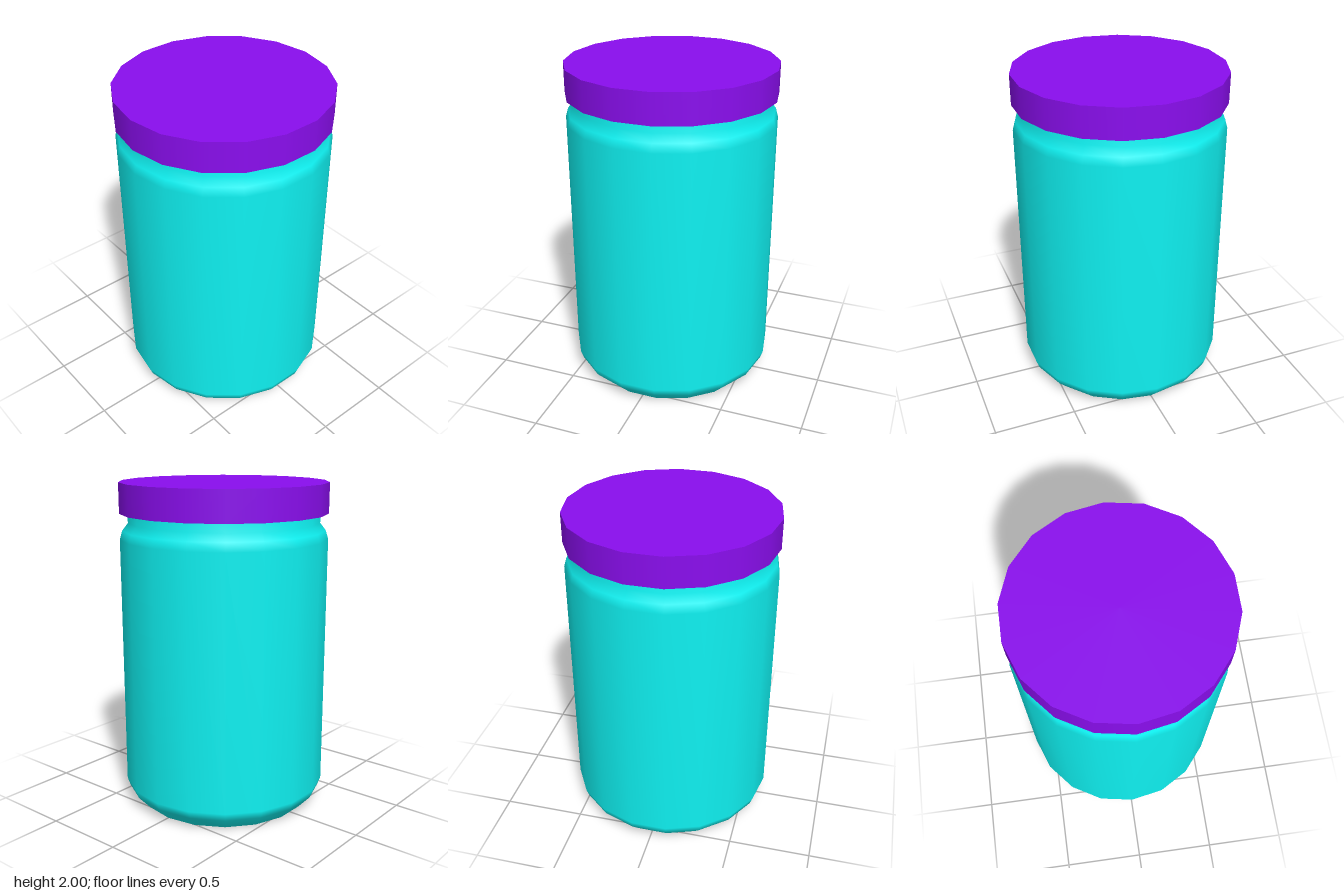
import * as THREE from 'three';

const SIDES = 18;

export function createModel() {
  const model = new THREE.Group();
  const glass = new THREE.MeshStandardMaterial({ color: 0x0ff2f2 });
  const purple = new THREE.MeshStandardMaterial({ color: 0x8a0eee });

  const add = (name, geometry, material, y = 0) => {
    const mesh = new THREE.Mesh(geometry, material);
    mesh.name = name;
    mesh.position.y = y;
    model.add(mesh);
  };

  // Jar wall: bevelled foot, straight side, rounded shoulder, narrow neck
  const profile = [
    [0.537, 0], [0.612, 0.08], [0.63, 0.13], [0.63, 1.665],
    [0.615, 1.717], [0.58, 1.762], [0.58, 1.9],
  ].map(([r, y]) => new THREE.Vector2(r, y));
  add('jarBody', new THREE.LatheGeometry(profile, SIDES, Math.PI / 2), glass);

  // Flat base, kept separate for a sharp edge
  add('jarBase', new THREE.CircleGeometry(0.537, SIDES).rotateX(Math.PI / 2), glass);

  // Lid: smooth rim with flat top and underside
  const lidHeight = 0.183;
  const lid = new THREE.CylinderGeometry(0.63, 0.63, lidHeight, SIDES, 1, false, Math.PI / 2);
  add('lid', lid, purple, 2 - lidHeight / 2);

  return model;
}
